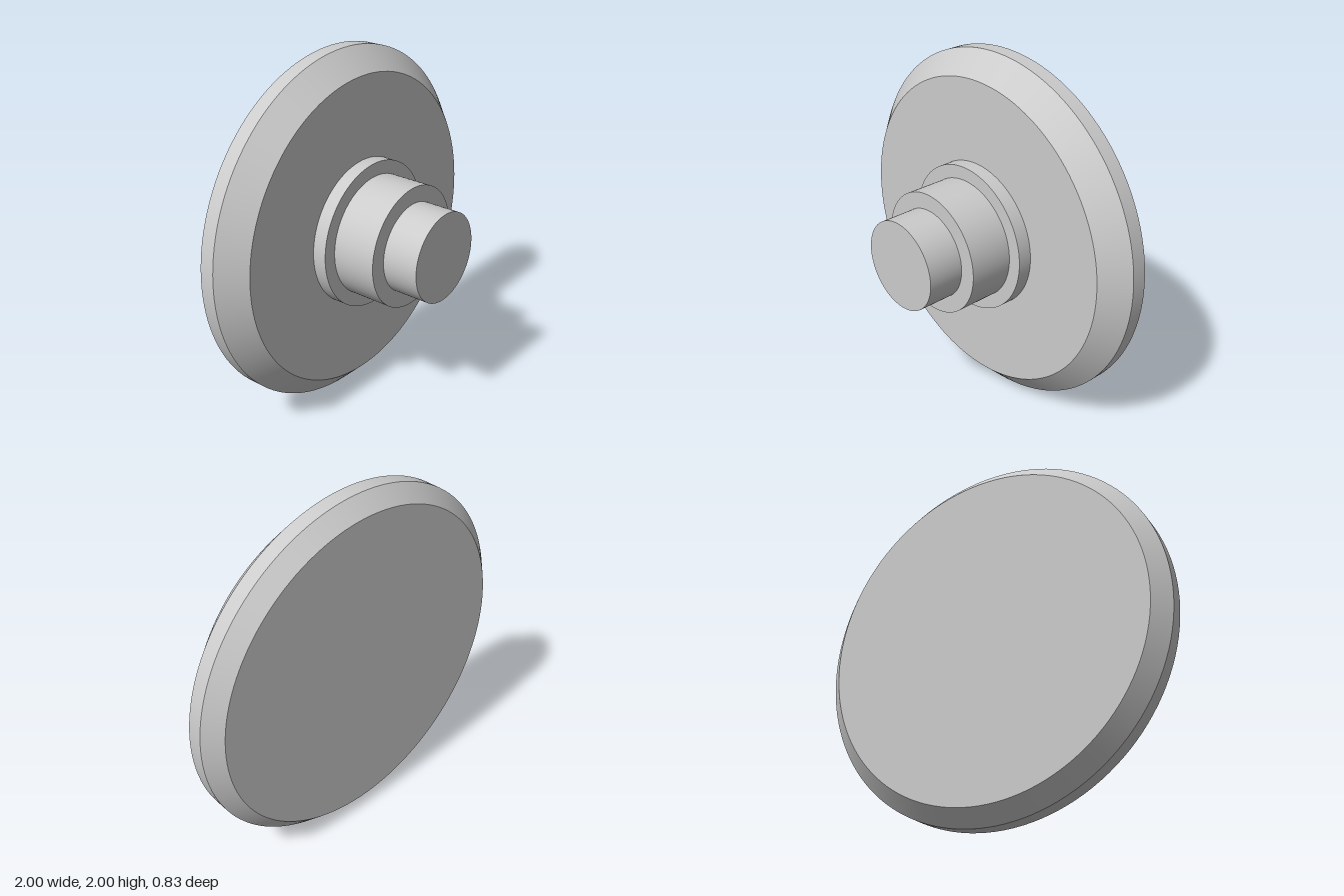
import * as THREE from 'three';
import { mergeGeometries } from 'three/addons/utils/BufferGeometryUtils.js';

const material = new THREE.MeshStandardMaterial({ color: 0xcccccc });

// Turns a [radius, z] profile (back to front) about the z axis.
// Each profile segment is its own band, so edges between bands stay sharp.
function turned(name, profile) {
  const bands = profile.slice(1).map((point, i) =>
    new THREE.LatheGeometry(
      [new THREE.Vector2(...profile[i]), new THREE.Vector2(...point)], 128));
  const geometry = mergeGeometries(bands);
  geometry.rotateX(Math.PI / 2);
  const mesh = new THREE.Mesh(geometry, material);
  mesh.name = name;
  mesh.position.y = 1;
  return mesh;
}

export function createModel() {
  const group = new THREE.Group();
  group.name = 'steppedKnob';

  // Wide disc with a small back chamfer and a larger front chamfer
  group.add(turned('disc', [
    [0, -0.415], [0.915, -0.415], [1, -0.335], [1, -0.25], [0.875, -0.125], [0.415, -0.125],
  ]));

  // Three concentric steps, each closed by its front face
  group.add(turned('collar', [[0.415, -0.125], [0.415, -0.045], [0.34, -0.045]]));
  group.add(turned('hub', [[0.34, -0.045], [0.34, 0.208], [0.25, 0.208]]));
  group.add(turned('stub', [[0.25, 0.208], [0.25, 0.415], [0, 0.415]]));

  return group;
}
